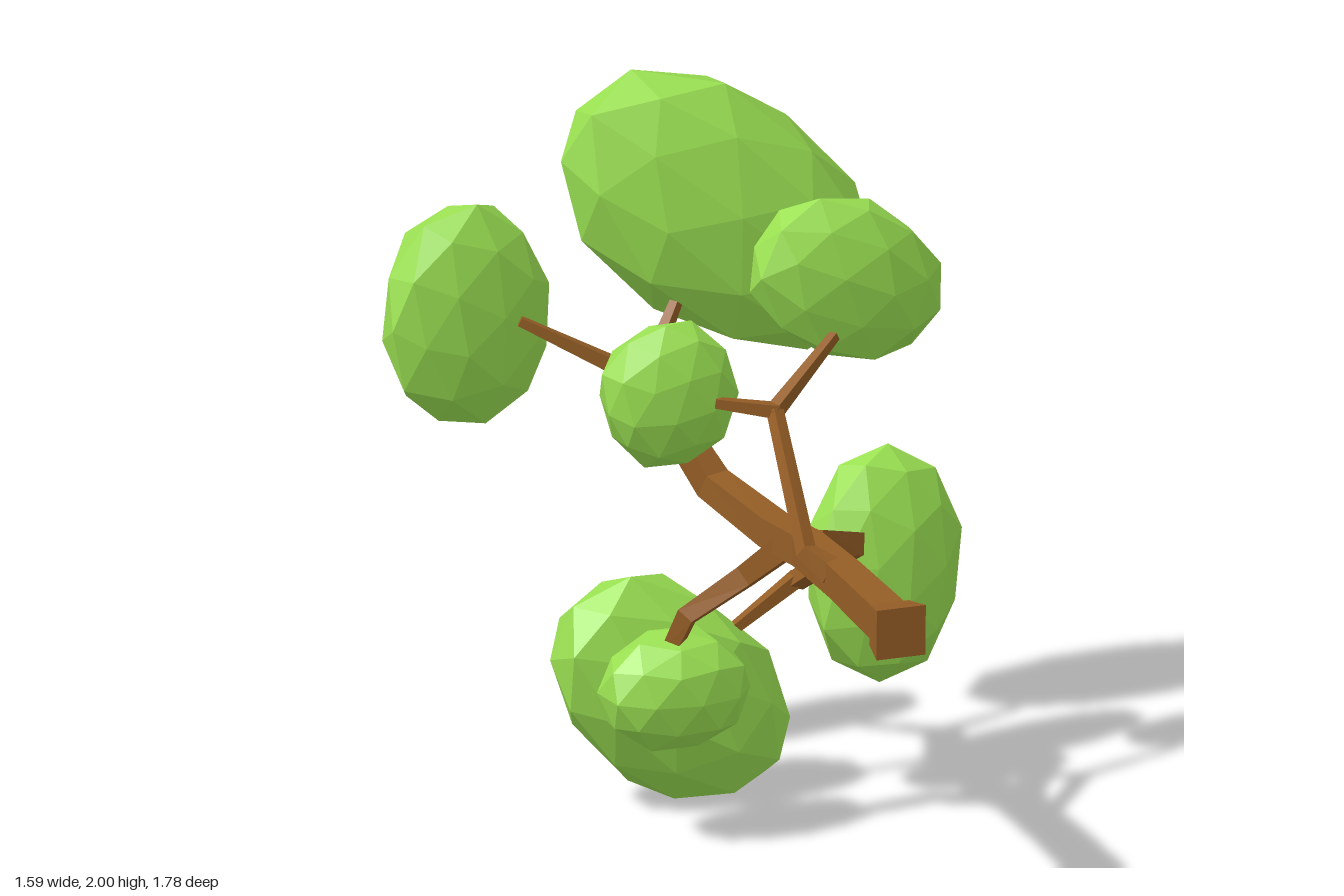
import * as THREE from 'three';

const bark = new THREE.MeshStandardMaterial({ color: 0x945d26, flatShading: true });
const leaf = new THREE.MeshStandardMaterial({ color: 0x9ae052, flatShading: true });
const V = (a) => new THREE.Vector3(a[0], a[1], a[2]);

// Square-section limb through points [x, y, z, halfWidth], capped at both ends
function limb(name, pts) {
  const p = pts.map(V), pos = [], idx = [];
  const dir = (i) => p[i + 1].clone().sub(p[i]).normalize();
  const up = new THREE.Vector3(0, 1, 0);
  let prev = null;
  p.forEach((c, i) => {
    const t = i === 0 ? dir(0) : i === p.length - 1 ? dir(i - 1) : dir(i - 1).add(dir(i)).normalize();
    if (prev) up.applyQuaternion(new THREE.Quaternion().setFromUnitVectors(prev, t));
    prev = t;
    up.addScaledVector(t, -up.dot(t)).normalize();
    const side = new THREE.Vector3().crossVectors(up, t);
    for (const [a, b] of [[-1, -1], [1, -1], [1, 1], [-1, 1]]) {
      const q = c.clone().addScaledVector(side, a * pts[i][3]).addScaledVector(up, b * pts[i][3]);
      pos.push(q.x, q.y, q.z);
    }
  });
  for (let i = 0; i < p.length - 1; i++) {
    for (let k = 0; k < 4; k++) {
      const a = i * 4 + k, b = i * 4 + (k + 1) % 4;
      idx.push(a, b, b + 4, a, b + 4, a + 4);
    }
  }
  const e = (p.length - 1) * 4;
  idx.push(0, 2, 1, 0, 3, 2, e, e + 1, e + 2, e, e + 2, e + 3);
  const g = new THREE.BufferGeometry();
  g.setAttribute('position', new THREE.Float32BufferAttribute(pos, 3));
  g.setIndex(idx);
  const flat = g.toNonIndexed();
  flat.computeVertexNormals();
  const m = new THREE.Mesh(flat, bark);
  m.name = name;
  return m;
}

// Faceted leaf clump: an uneven icosphere with flattened faces, tilted, then fitted to a box
function clump(name, min, max, radii, tilt, seed) {
  const g = new THREE.IcosahedronGeometry(1, 1);
  const a = g.attributes.position, v = new THREE.Vector3();
  const turn = new THREE.Euler(seed * 1.3, seed * 0.9, 0, 'YXZ');
  for (let i = 0; i < a.count; i++) {
    v.fromBufferAttribute(a, i);
    const h = Math.sin(Math.round(v.x * 100) * 1.27 + Math.round(v.y * 100) * 3.11
      + Math.round(v.z * 100) * 7.47 + seed * 5.3) * 43.7;
    v.multiplyScalar(0.95 + 0.09 * (h - Math.floor(h))).applyEuler(turn);
    v.z = Math.sign(v.z) * Math.abs(v.z) ** 0.78;
    a.setXYZ(i, v.x, v.y, v.z);
  }
  g.scale(...radii);
  g.rotateZ(tilt[2]);
  g.rotateX(tilt[0]);
  g.rotateY(tilt[1]);
  g.center();
  g.computeBoundingBox();
  const now = g.boundingBox.getSize(new THREE.Vector3());
  const size = V(max).sub(V(min)), mid = V(max).add(V(min)).multiplyScalar(0.5);
  g.scale(size.x / now.x, size.y / now.y, size.z / now.z);
  g.translate(mid.x, mid.y, mid.z);
  g.computeVertexNormals();
  const m = new THREE.Mesh(g, leaf);
  m.name = name;
  return m;
}

export function createModel() {
  const tree = new THREE.Group();
  tree.name = 'fallenTree';

  // Trunk lying along z, with its flared foot at the front
  tree.add(
    limb('trunkFoot', [[0.05, 0.89, 0.89, 0.071], [0.052, 0.892, 0.8, 0.057]]),
    limb('trunk', [[0.052, 0.892, 0.82, 0.049], [0.087, 0.888, 0.4, 0.045],
      [0.1, 0.885, 0.1, 0.043], [0.085, 0.88, -0.02, 0.042]]),
  );

  // Main branches, each ending in a fork
  tree.add(
    limb('upperBranch', [[0.1, 0.885, 0.1, 0.042], [0.06, 0.9, -0.04, 0.042],
      [0.0, 0.955, -0.32, 0.038], [-0.12, 1.22, -0.52, 0.03]]),
    limb('upperTwigRight', [[-0.1, 1.18, -0.5, 0.028], [-0.2, 1.25, -0.54, 0.02],
      [-0.44, 1.38, -0.62, 0.012]]),
    limb('upperTwigLeft', [[-0.12, 1.2, -0.51, 0.025], [-0.07, 1.28, -0.54, 0.018],
      [0.0, 1.39, -0.58, 0.013]]),
    limb('lowerLeftBranch', [[0.1, 0.885, 0.1, 0.043], [0.15, 0.86, 0.0, 0.039],
      [0.36, 0.775, -0.2, 0.031], [0.285, 0.61, -0.42, 0.021]]),
    limb('lowerLeftTwigOuter', [[0.28, 0.61, -0.42, 0.02], [0.37, 0.62, -0.49, 0.014]]),
    limb('lowerLeftTwigInner', [[0.29, 0.62, -0.42, 0.02], [0.1, 0.49, -0.43, 0.013]]),
    limb('lowerRightBranch', [[0.08, 0.88, 0.03, 0.034], [0.0, 0.76, -0.09, 0.029],
      [-0.18, 0.675, -0.07, 0.025], [-0.21, 0.57, -0.11, 0.021]]),
    limb('frontBranch', [[0.07, 0.9, 0.36, 0.03], [0.02, 0.945, 0.29, 0.021],
      [0.05, 1.25, 0.0, 0.017]]),
    limb('frontTwigRight', [[0.06, 1.25, 0.0, 0.019], [-0.1, 1.275, -0.06, 0.013]]),
    limb('frontTwigLeft', [[0.04, 1.24, 0.0, 0.019], [0.27, 1.405, -0.11, 0.012]]),
  );

  // Leaf clumps at the twig ends
  tree.add(
    clump('topLeaves', [-0.27, 1.18, -0.89], [0.63, 2, -0.54], [0.52, 0.32, 0.16], [-0.1, 0, -0.74], 8),
    clump('upperRightLeaves', [-0.8, 1.08, -0.84], [-0.32, 1.71, -0.59], [0.24, 0.32, 0.12], [0, 0.12, 0.05], 2),
    clump('innerRightLeaves', [-0.39, 1.08, -0.27], [-0.01, 1.49, -0.04], [0.19, 0.2, 0.12], [0, 0, 0], 3),
    clump('lowerRightLeaves', [-0.4, 0.28, -0.28], [0.02, 0.62, 0], [0.21, 0.17, 0.14], [0, 0, 0], 4),
    clump('upperLeftLeaves', [0.07, 1.29, -0.33], [0.615, 1.775, -0.09], [0.3, 0.23, 0.12], [0, 0.04, -0.6], 5),
    clump('lowerLeftLeaves', [0.34, 0.28, -0.61], [0.79, 0.93, -0.37], [0.22, 0.33, 0.11], [-0.07, 0.08, -0.06], 6),
    clump('bottomLeaves', [-0.4, 0.005, -0.635], [0.28, 0.68, -0.32], [0.4, 0.27, 0.15], [0.03, 0, -0.78], 7),
  );
  return tree;
}
